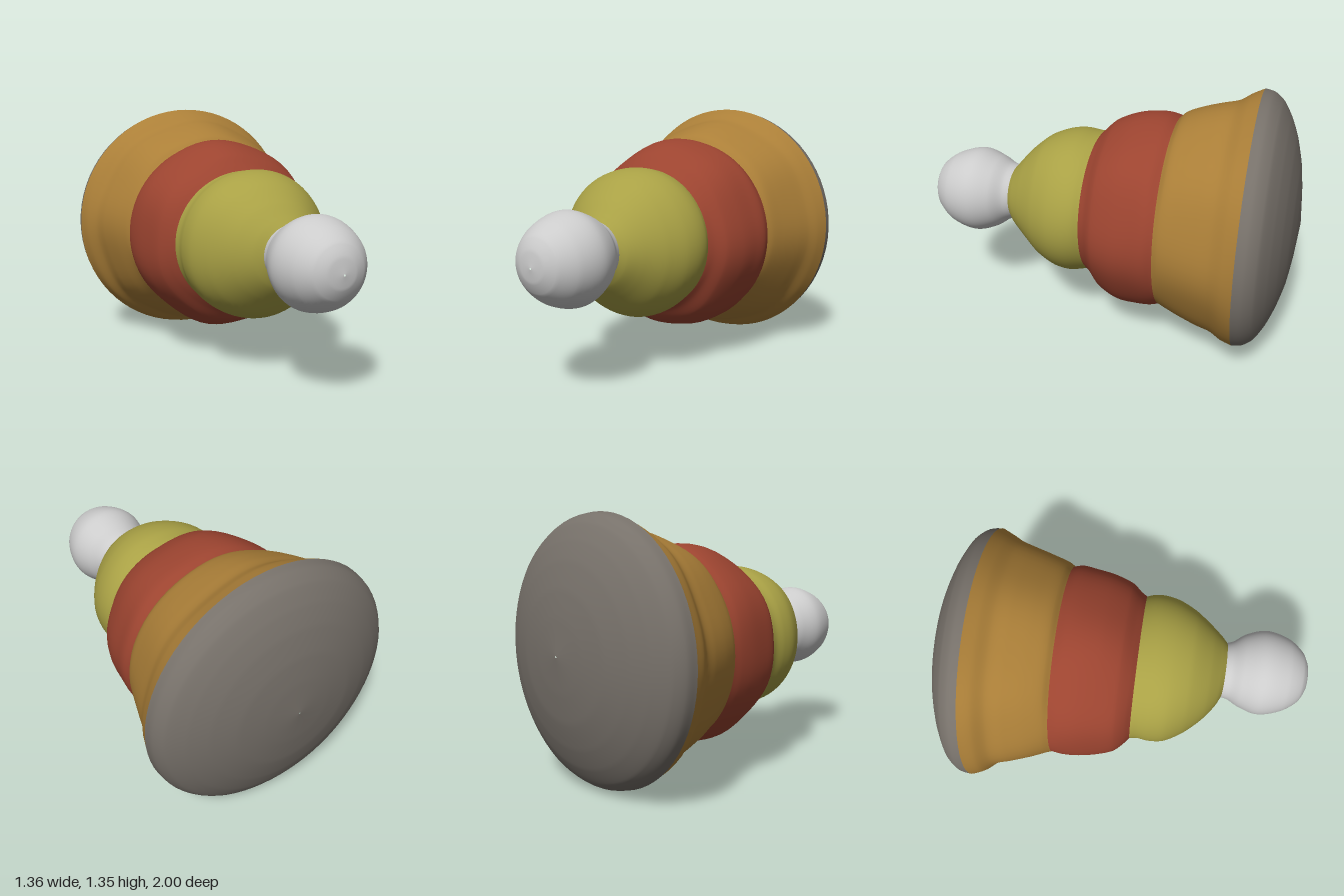
import * as THREE from 'three';

const SEGMENTS = 72, STEPS = 8;

// Smooth skin through elliptical sections running front to back.
// Each section is [z, left x, right x, bottom y, top y].
function loftedRing(name, color, sections, ripple = 0, lobes = 7) {
  // Spline the centre / z and the radii separately.
  const centres = new THREE.CatmullRomCurve3(
    sections.map(([z, x0, x1, y0, y1]) => new THREE.Vector3((x0 + x1) / 2, (y0 + y1) / 2, z)));
  const radii = new THREE.CatmullRomCurve3(
    sections.map(([z, x0, x1, y0, y1]) => new THREE.Vector3((x1 - x0) / 2, (y1 - y0) / 2, z)));
  const rows = (sections.length - 1) * STEPS;
  const positions = [], indices = [];
  for (let i = 0; i <= rows; i++) {
    const c = centres.getPoint(i / rows), r = radii.getPoint(i / rows);
    const swell = ripple * Math.sin(Math.PI * i / rows);
    for (let j = 0; j < SEGMENTS; j++) {
      const a = j / SEGMENTS * Math.PI * 2;
      const k = 1 + swell * Math.cos(lobes * a + 0.6);
      positions.push(c.x + Math.max(r.x, 0) * k * Math.cos(a), c.y + Math.max(r.y, 0) * k * Math.sin(a), c.z);
      if (i < rows) {
        const n = (j + 1) % SEGMENTS, p = i * SEGMENTS, q = p + SEGMENTS;
        indices.push(p + j, q + j, q + n, p + j, q + n, p + n);
      }
    }
  }
  const geometry = new THREE.BufferGeometry();
  geometry.setAttribute('position', new THREE.Float32BufferAttribute(positions, 3));
  geometry.setIndex(indices);
  geometry.computeVertexNormals();
  const mesh = new THREE.Mesh(geometry, new THREE.MeshStandardMaterial({ color }));
  mesh.name = name;
  return mesh;
}

export function createModel() {
  const group = new THREE.Group();
  group.name = 'stackingToy';

  // Knob at the narrow end, with its neck
  group.add(loftedRing('knob', 0xcccccc, [
    [1.0, 0.075, 0.085, 0.665, 0.675],
    [0.99, 0.0, 0.15, 0.6, 0.75],
    [0.96, -0.06, 0.21, 0.54, 0.81],
    [0.88, -0.12, 0.275, 0.475, 0.87],
    [0.75, -0.155, 0.305, 0.44, 0.905],
    [0.64, -0.125, 0.27, 0.475, 0.87],
    [0.58, -0.095, 0.225, 0.515, 0.835],
    [0.545, -0.09, 0.21, 0.53, 0.825],
  ]));

  // Small rounded ring
  group.add(loftedRing('smallRing', 0xa9a145, [
    [0.545, -0.09, 0.21, 0.53, 0.825],
    [0.52, -0.14, 0.24, 0.49, 0.855],
    [0.46, -0.22, 0.29, 0.42, 0.925],
    [0.36, -0.31, 0.365, 0.325, 1.01],
    [0.26, -0.365, 0.415, 0.28, 1.05],
    [0.18, -0.375, 0.43, 0.275, 1.06],
    [0.12, -0.37, 0.425, 0.29, 1.052],
    [0.08, -0.375, 0.41, 0.295, 1.045],
  ], 0.006, 5));

  // Middle ring
  group.add(loftedRing('middleRing', 0x9c4430, [
    [0.08, -0.375, 0.41, 0.295, 1.045],
    [0.05, -0.41, 0.43, 0.265, 1.075],
    [0.0, -0.45, 0.475, 0.205, 1.12],
    [-0.1, -0.48, 0.51, 0.15, 1.165],
    [-0.2, -0.5, 0.525, 0.143, 1.185],
    [-0.28, -0.505, 0.535, 0.15, 1.185],
    [-0.33, -0.5, 0.525, 0.16, 1.17],
  ], 0.012, 7));

  // Large flared ring
  group.add(loftedRing('largeRing', 0xab7f38, [
    [-0.33, -0.5, 0.525, 0.16, 1.17],
    [-0.36, -0.515, 0.54, 0.15, 1.2],
    [-0.44, -0.55, 0.565, 0.115, 1.235],
    [-0.54, -0.585, 0.595, 0.08, 1.265],
    [-0.62, -0.61, 0.62, 0.06, 1.285],
    [-0.68, -0.655, 0.65, 0.02, 1.32],
    [-0.74, -0.68, 0.675, 0.0, 1.347],
  ], 0.01, 8));

  // Domed base closing the wide end
  group.add(loftedRing('base', 0x77716a, [
    [-0.74, -0.68, 0.675, 0.0, 1.347],
    [-0.79, -0.672, 0.668, 0.012, 1.335],
    [-0.84, -0.635, 0.635, 0.05, 1.295],
    [-0.89, -0.55, 0.55, 0.13, 1.215],
    [-0.93, -0.45, 0.45, 0.23, 1.12],
    [-0.965, -0.32, 0.32, 0.36, 0.99],
    [-0.985, -0.18, 0.18, 0.5, 0.86],
    [-1.0, -0.005, 0.005, 0.675, 0.685],
  ]));

  return group;
}
